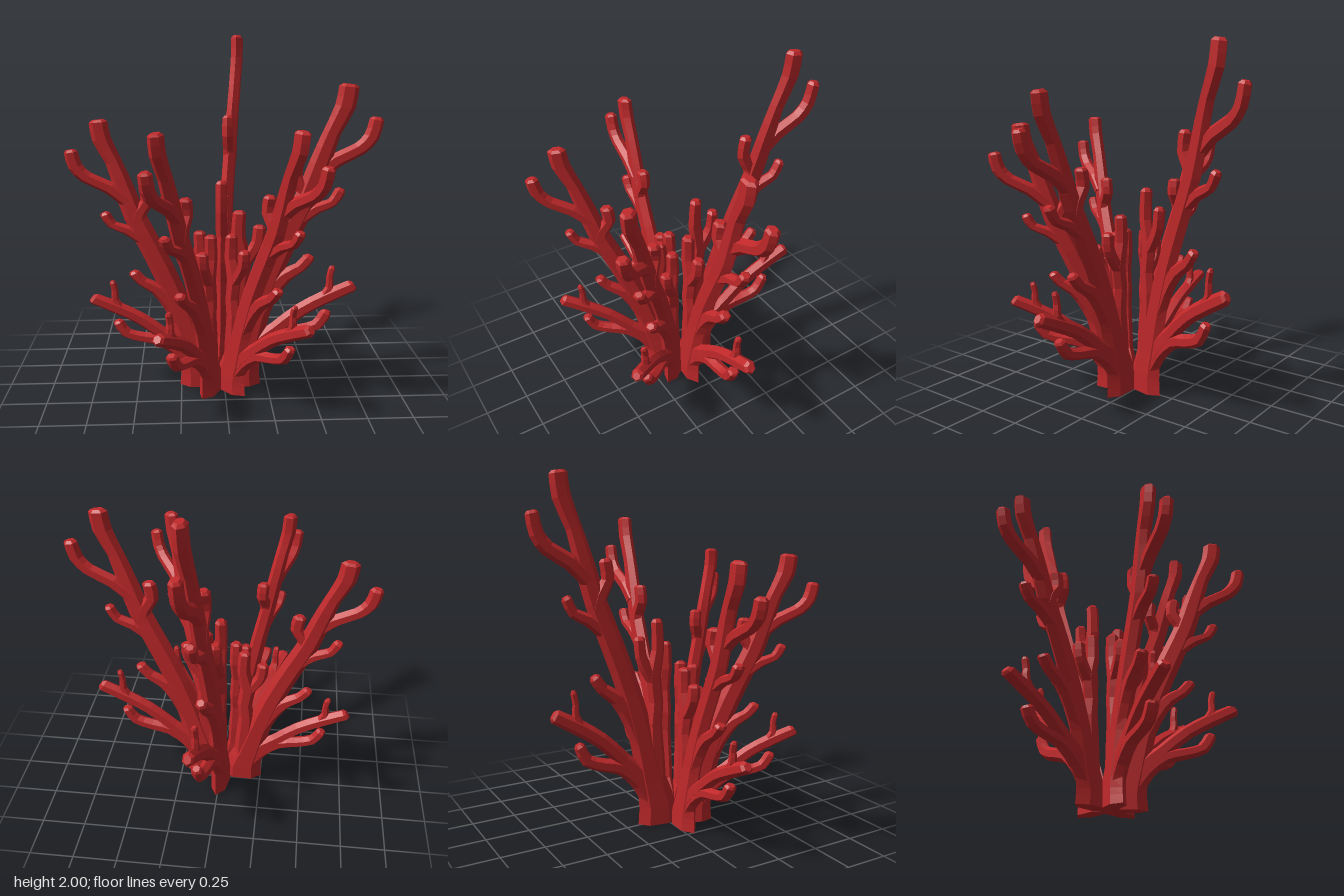
import * as THREE from 'three';

const SIDES = 6;

// Branches of one flat frond: [distance out, height, half width, sideways lean] along each centre line
const BRANCHES = {
  trunk: [[0.09, 0, 0.115], [0.09, 0.11, 0.11], [0.125, 0.26, 0.09], [0.17, 0.47, 0.075], [0.25, 0.78, 0.067],
    [0.35, 1.07, 0.066], [0.435, 1.3, 0.062, 0.005], [0.49, 1.5, 0.056, 0.012], [0.545, 1.7, 0.045, 0.02],
    [0.605, 1.86, 0.052, 0.025], [0.62, 1.98, 0.05, 0.025]],
  upperFork: [[0.475, 1.42, 0.045], [0.57, 1.52, 0.045], [0.69, 1.595, 0.042], [0.745, 1.67, 0.04], [0.767, 1.775, 0.037]],
  upperInnerStub: [[0.43, 1.25, 0.045], [0.41, 1.34, 0.04], [0.37, 1.42, 0.037], [0.38, 1.52, 0.037]],
  upperOuterStub: [[0.4, 1.14, 0.04], [0.48, 1.21, 0.036], [0.56, 1.25, 0.03], [0.597, 1.325, 0.03]],
  innerBranch: [[0.09, 0.15, 0.06], [0.095, 0.4, 0.05], [0.105, 0.6, 0.045], [0.095, 0.72, 0.043],
    [0.11, 0.87, 0.045], [0.085, 1.02, 0.038], [0.09, 1.18, 0.034]],
  innerFork: [[0.11, 0.84, 0.036], [0.155, 0.92, 0.037], [0.185, 0.99, 0.034], [0.193, 1.085, 0.033]],
  middleBranch: [[0.17, 0.45, 0.06], [0.24, 0.63, 0.055], [0.325, 0.76, 0.045], [0.405, 0.82, 0.035], [0.45, 0.885, 0.033]],
  lowBranch: [[0.1, 0.14, 0.07], [0.18, 0.28, 0.06], [0.29, 0.4, 0.045], [0.42, 0.53, 0.045], [0.545, 0.615, 0.046], [0.675, 0.69, 0.042]],
  lowSpur: [[0.515, 0.59, 0.03], [0.56, 0.68, 0.022], [0.56, 0.75, 0.018], [0.57, 0.81, 0.018]],
  lowestBranch: [[0.11, 0.13, 0.07], [0.19, 0.255, 0.055], [0.3, 0.355, 0.045], [0.41, 0.385, 0.04], [0.5, 0.42, 0.037], [0.545, 0.505, 0.032]],
};

// Flattened six-sided tube following a centre line, with a chamfered tip
function branchGeometry(points) {
  const curve = new THREE.CatmullRomCurve3(points.map(([r, y, , lean = 0]) => new THREE.Vector3(r, y, lean)));
  const last = points.length - 1;
  const steps = last * 2;
  const pos = [];
  const index = [];

  const addRing = (centre, tangent, a, b) => {
    for (let j = 0; j < SIDES; j++) {
      const u = (j / SIDES) * Math.PI * 2;
      pos.push(centre.x + tangent.y * Math.cos(u) * a, centre.y - tangent.x * Math.cos(u) * a, centre.z - Math.sin(u) * b);
    }
  };

  for (let i = 0; i <= steps; i++) {
    const t = i / steps;
    const k = Math.min(Math.floor(t * last), last - 1);
    const a = THREE.MathUtils.lerp(points[k][2], points[k + 1][2], t * last - k);
    const b = Math.min(a * 1.1, 0.028 + 0.2 * a);
    const centre = curve.getPoint(t);
    const tangent = i === 0 && points[0][1] === 0 ? new THREE.Vector3(0, 1, 0) : curve.getTangent(t);
    addRing(centre, tangent, a, b);
    if (i === steps) addRing(centre.addScaledVector(tangent, 0.016), tangent, a * 0.65, b * 0.6);
  }

  const rings = steps + 2;
  for (let i = 0; i < rings - 1; i++) {
    for (let j = 0; j < SIDES; j++) {
      const p = i * SIDES + j;
      const q = i * SIDES + (j + 1) % SIDES;
      index.push(p, q, p + SIDES, q, q + SIDES, p + SIDES);
    }
  }
  // End caps
  const top = (rings - 1) * SIDES;
  for (let j = 1; j < SIDES - 1; j++) {
    index.push(0, j + 1, j, top, top + j, top + j + 1);
  }

  const geometry = new THREE.BufferGeometry();
  geometry.setAttribute('position', new THREE.Float32BufferAttribute(pos, 3));
  geometry.setIndex(index);
  geometry.computeVertexNormals();
  return geometry;
}

// Fronds: direction on the ground (x, z), outward scale, height scale
const FRONDS = [
  { name: 'backFrond', dir: [0.14, -0.77], out: 1, tall: 1 },
  { name: 'leftFrond', dir: [0.86, 0.03], out: 1.1, tall: 0.875 },
  { name: 'rightFrond', dir: [-0.83, -0.015], out: 1.03, tall: 0.778 },
  { name: 'frontLeftFrond', dir: [0.51, 0.61], out: 0.99, tall: 0.778 },
  { name: 'frontRightFrond', dir: [-0.37, 0.69], out: 0.99, tall: 0.778 },
];
const CENTRE = new THREE.Vector3(-0.03, 0, 0.045);

export function createModel() {
  const model = new THREE.Group();
  model.name = 'branchingCoral';
  const material = new THREE.MeshStandardMaterial({ color: 0xc0282a, flatShading: true });
  const parts = Object.entries(BRANCHES).map(([name, points]) => [name, branchGeometry(points)]);

  for (const { name, dir, out, tall } of FRONDS) {
    const frond = new THREE.Group();
    frond.name = name;
    for (const [partName, geometry] of parts) {
      const mesh = new THREE.Mesh(geometry, material);
      mesh.name = partName;
      frond.add(mesh);
    }
    frond.scale.set(out, tall, 1);
    frond.rotation.y = Math.atan2(-dir[1], dir[0]);
    // Each frond stands a little out from the centre
    frond.position.copy(CENTRE).addScaledVector(new THREE.Vector3(dir[0], 0, dir[1]).normalize(), 0.016);
    model.add(frond);
  }
  return model;
}
